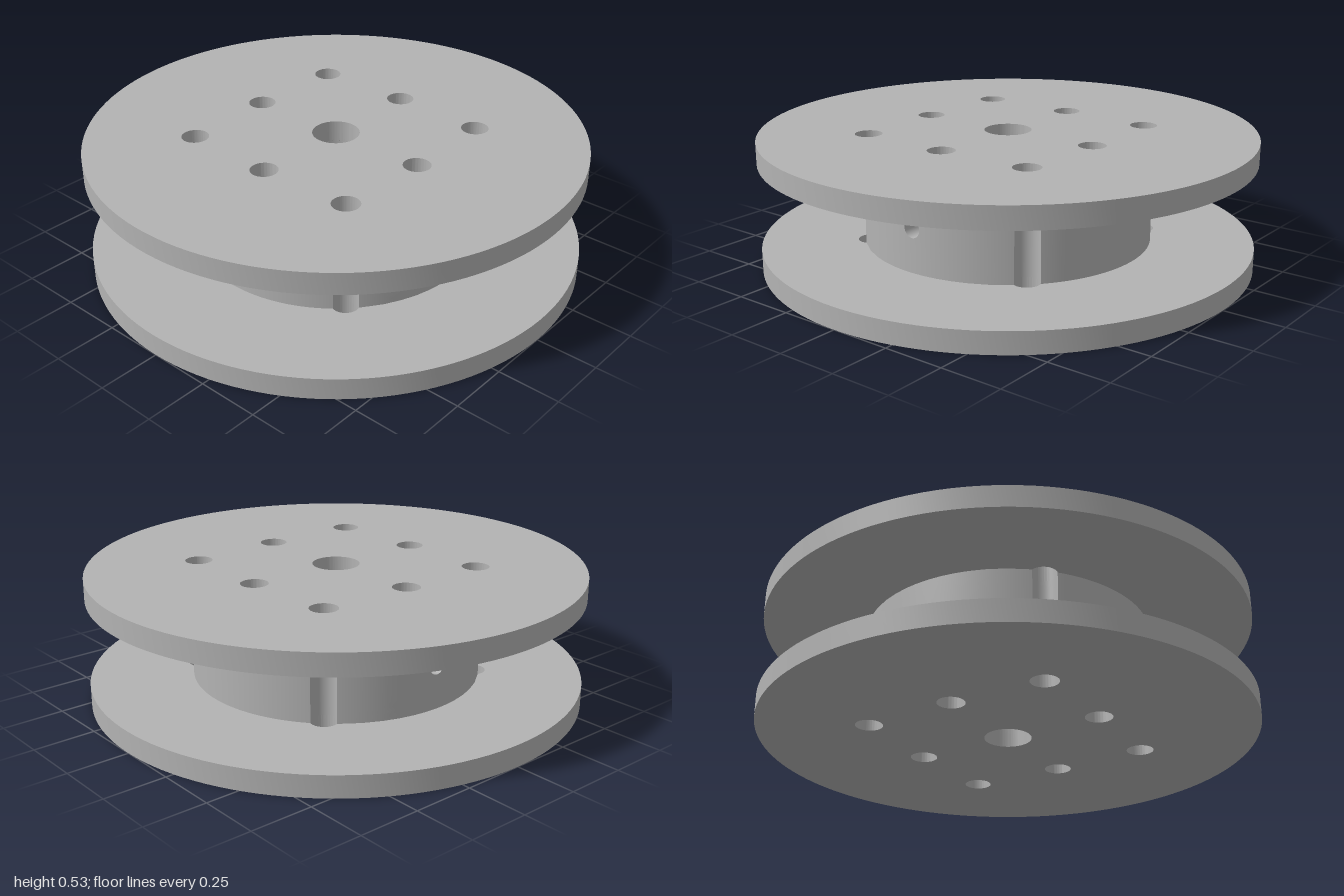
import * as THREE from 'three';
import { toCreasedNormals } from 'three/addons/utils/BufferGeometryUtils.js';
import { ParametricGeometry } from 'three/addons/geometries/ParametricGeometry.js';

const HEIGHT = 0.53, FLANGE = 0.088, MID = HEIGHT / 2;
const HUB_H = HEIGHT - 2 * FLANGE;
const HUB_R = 0.585, BORE_R = 0.095, PIN_R = 0.055, CROSS_R = 0.037;
const PIN_AXIS = 0.41, PIN_CORNER = 0.395;

export function createModel() {
  const grey = new THREE.MeshStandardMaterial({ color: 0xb3b3b3, side: THREE.DoubleSide });
  const group = new THREE.Group();

  const add = (parent, name, geometry, x = 0, y = 0, z = 0) => {
    const mesh = new THREE.Mesh(geometry, grey);
    mesh.name = name;
    mesh.position.set(x, y, z);
    parent.add(mesh);
    return mesh;
  };

  // Flanges: discs with a bore and eight pin holes
  const disc = new THREE.Shape().absarc(0, 0, 1, 0, Math.PI * 2);
  const drill = (x, y, r) => disc.holes.push(new THREE.Path().absarc(x, y, r, 0, Math.PI * 2, true));
  drill(0, 0, BORE_R);
  for (const s of [-1, 1]) {
    drill(s * PIN_AXIS, 0, PIN_R);
    drill(0, s * PIN_AXIS, PIN_R);
    for (const t of [-1, 1]) drill(s * PIN_CORNER, t * PIN_CORNER, PIN_R);
  }
  const flange = toCreasedNormals(
    new THREE.ExtrudeGeometry(disc, { depth: FLANGE, bevelEnabled: false, curveSegments: 64 })
      .rotateX(-Math.PI / 2), 0.5);
  add(group, 'lowerFlange', flange);
  add(group, 'upperFlange', flange, 0, HEIGHT - FLANGE);

  // Where the corner pin holes break through the hub wall
  const cornerDist = PIN_CORNER * Math.SQRT2;
  const along = (HUB_R ** 2 - PIN_R ** 2 + cornerDist ** 2) / (2 * cornerDist);
  const half = Math.sqrt(HUB_R ** 2 - along ** 2);
  const hubAngle = Math.PI / 4 - Math.atan2(half, along);
  const grooveAngle = Math.atan2(half, along - cornerDist);

  const wall = (r, start, length) =>
    new THREE.CylinderGeometry(r, r, HUB_H, 48, 1, true, start, length);

  // Corner grooves
  for (let k = 0; k < 4; k++) {
    const a = Math.PI / 4 + k * Math.PI / 2;
    add(group, 'cornerGroove', wall(PIN_R, a + grooveAngle, 2 * (Math.PI - grooveAngle)),
      cornerDist * Math.sin(a), MID, cornerDist * Math.cos(a));
  }

  // Curved wall panel facing +x, pierced by the cross hole
  const piercedWall = (r, halfAngle) => new ParametricGeometry((u, v, out) => {
    const t = u * Math.PI * 2, c = Math.cos(t), s = Math.sin(t);
    const m = Math.max(Math.abs(c), Math.abs(s));
    const angle = THREE.MathUtils.lerp(Math.asin(CROSS_R * c / r), halfAngle * c / m, v);
    const y = THREE.MathUtils.lerp(CROSS_R * s, HUB_H / 2 * s / m, v);
    out.set(r * Math.cos(angle), y, r * Math.sin(angle));
  }, 48, 8);

  // Cross hole lining, trimmed to the round walls at both ends
  const lining = (from, to) => new ParametricGeometry((u, v, out) => {
    const t = u * Math.PI * 2, z = CROSS_R * Math.cos(t);
    out.set(THREE.MathUtils.lerp(from(z), to(z), v), CROSS_R * Math.sin(t), z);
  }, 48, 1);
  const bulge = (r, z) => Math.sqrt(r * r - z * z);

  // Two matching halves of the hub, turned about the axle
  for (let k = 0; k < 2; k++) {
    const side = new THREE.Group();
    side.name = k ? 'hubRightHalf' : 'hubLeftHalf';
    side.position.y = MID;
    side.rotation.y = k * Math.PI;
    group.add(side);

    add(side, 'hubWall', wall(HUB_R, -hubAngle, 2 * hubAngle));
    add(side, 'hubPiercedWall', piercedWall(HUB_R, hubAngle));
    add(side, 'boreWall', piercedWall(BORE_R, Math.PI / 2));
    add(side, 'pinHole', wall(PIN_R, 0, Math.PI * 2), 0, 0, PIN_AXIS);
    for (const turn of [0, Math.PI]) {
      add(side, 'piercedPinHole', piercedWall(PIN_R, Math.PI / 2), PIN_AXIS).rotation.y = turn;
    }
    add(side, 'innerCrossHole',
      lining(z => bulge(BORE_R, z), z => PIN_AXIS - bulge(PIN_R, z)));
    add(side, 'outerCrossHole',
      lining(z => PIN_AXIS + bulge(PIN_R, z), z => bulge(HUB_R, z)));
  }

  return group;
}
